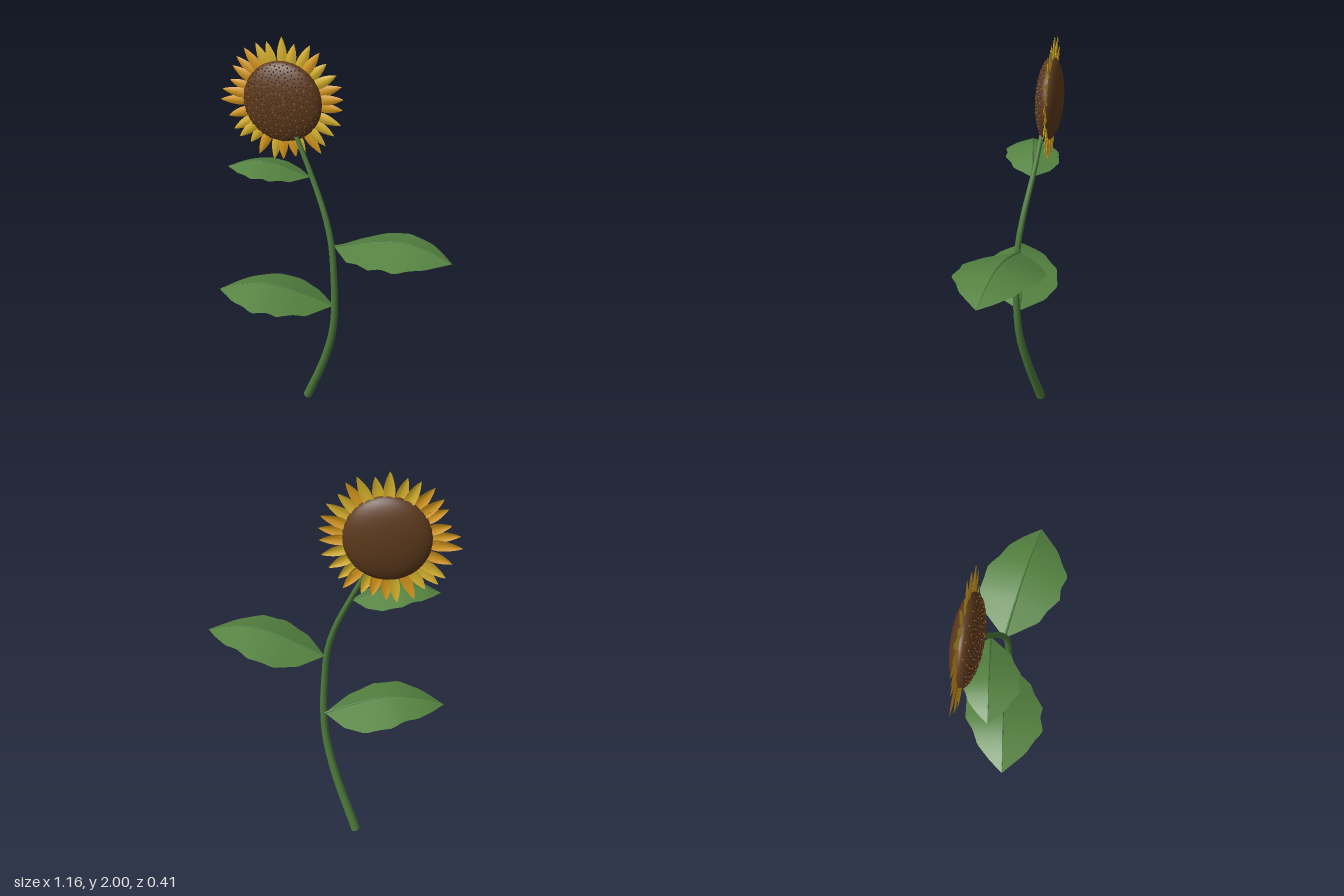
import * as THREE from 'three';

const mat = (name, color, side = THREE.FrontSide) => {
  const m = new THREE.MeshStandardMaterial({ color, side });
  m.name = name;
  return m;
};
const v = (x, y, z) => new THREE.Vector3(x, y, z);

// Tube whose radius runs from r0 to r1
function taperedTube(curve, segments, r0, r1, sides) {
  const geo = new THREE.TubeGeometry(curve, segments, 1, sides);
  const pos = geo.attributes.position;
  const p = new THREE.Vector3();
  for (let i = 0; i <= segments; i++) {
    const c = curve.getPointAt(i / segments);
    const r = THREE.MathUtils.lerp(r0, r1, i / segments);
    for (let j = 0; j <= sides; j++) {
      const k = i * (sides + 1) + j;
      p.fromBufferAttribute(pos, k).sub(c).multiplyScalar(r).add(c);
      pos.setXYZ(k, p.x, p.y, p.z);
    }
  }
  return geo;
}

// Surface through a grid of points, f(row, column) with both in 0..1
function grid(rows, cols, f, flip = false) {
  const pts = [], idx = [];
  for (let i = 0; i <= rows; i++)
    for (let j = 0; j <= cols; j++) pts.push(...f(i / rows, j / cols));
  for (let i = 0; i < rows; i++)
    for (let j = 0; j < cols; j++) {
      const a = i * (cols + 1) + j, b = a + 1, c = a + cols + 1, d = c + 1;
      idx.push(...(flip ? [a, c, b, b, c, d] : [a, b, c, b, d, c]));
    }
  const geo = new THREE.BufferGeometry();
  geo.setAttribute('position', new THREE.Float32BufferAttribute(pts, 3));
  geo.setIndex(idx);
  geo.computeVertexNormals();
  return geo;
}

// Linear interpolation in a list of [t, value]
function sample(table, t) {
  let i = 1;
  while (i < table.length - 1 && t > table[i][0]) i++;
  const [t0, a] = table[i - 1], [t1, b] = table[i];
  return a + (b - a) * (t - t0) / (t1 - t0);
}

// Half widths of the scalloped leaf, behind and in front of the midrib
const BACK = [[0, 0], [.16, .125], [.33, .19], [.42, .187], [.54, .188], [.64, .149], [.765, .125], [.89, .066], [1, 0]];
const FRONT = [[0, 0], [.21, .134], [.31, .153], [.437, .196], [.52, .183], [.64, .198], [.73, .152], [.83, .115], [1, 0]];

function makeLeaf(name, leafMat, ribMat) {
  const leaf = new THREE.Group();
  leaf.name = name;
  const rib = new THREE.CatmullRomCurve3([
    v(0, 0, 0), v(.115, .045, .017), v(.23, .083, .034), v(.35, .1, .052), v(.465, .085, .07), v(.58, .047, .086)]);
  for (const side of [-1, 1]) {
    const geo = grid(32, 4, (t, s) => {
      const c = rib.getPoint(t);
      const w = s * sample(side < 0 ? BACK : FRONT, t);
      return [c.x - side * .146 * w, c.y - .26 * w, c.z + side * .989 * w];
    }, side < 0);
    const half = new THREE.Mesh(geo, leafMat);
    half.name = side < 0 ? 'leafBackHalf' : 'leafFrontHalf';
    leaf.add(half);
  }
  const ribMesh = new THREE.Mesh(taperedTube(rib, 16, .006, .001, 6), ribMat);
  ribMesh.name = 'midrib';
  leaf.add(ribMesh);
  return leaf;
}

export function createModel() {
  const stemMat = mat('stem green', 0x4c7a3b);
  const leafMat = mat('leaf green', 0x558341, THREE.DoubleSide);
  const brown = mat('disc brown', 0x5e3a1c);
  const darkSeed = mat('dark seed brown', 0x4e2f17);
  const paleSeed = mat('pale seed orange', 0xa0642c);
  const petalMats = [
    mat('petal yellow', 0xd8b22c, THREE.DoubleSide),
    mat('petal gold', 0xd99a1e, THREE.DoubleSide)];
  const model = new THREE.Group();
  model.name = 'sunflower';

  let seed = 7;
  const rand = () => (seed = (seed * 16807) % 2147483647) / 2147483647;

  // Bowed stem with closed ends
  const path = new THREE.CatmullRomCurve3([
    v(-.177, .01, -.142), v(-.06, .33, -.082), v(-.005, .55, -.047), v(.008, .72, -.035), v(.005, .87, -.031),
    v(-.01, 1.06, -.036), v(-.05, 1.21, -.055), v(-.125, 1.39, -.088), v(-.2, 1.555, -.112)]);
  const stem = new THREE.Mesh(taperedTube(path, 24, .024, .011, 12), stemMat);
  stem.name = 'stem';
  model.add(stem);
  for (const [t, r, dir] of [[0, .024, -1], [1, .011, 1]]) {
    const cap = new THREE.Mesh(new THREE.CircleGeometry(r, 12), stemMat);
    cap.name = 'stemEnd';
    cap.position.copy(path.getPointAt(t));
    cap.quaternion.setFromUnitVectors(v(0, 0, 1), path.getTangentAt(t).multiplyScalar(dir));
    model.add(cap);
  }

  // Three leaves: [name, position, scale, direction]
  for (const [name, p, s, dir] of [
    ['lowerLeaf', [0, .7, -.05], 1, -1],
    ['middleLeaf', [0, 1.04, -.05], 1, 1],
    ['upperLeaf', [-.125, 1.375, -.083], .67, -1]]) {
    const leaf = makeLeaf(name, leafMat, stemMat);
    leaf.position.set(...p);
    leaf.scale.set(s * dir, s, s);
    model.add(leaf);
  }

  // Flower head
  const head = new THREE.Group();
  head.name = 'flowerHead';
  head.position.set(-.272, 1.706, -.138);
  model.add(head);

  const R = .188, D = .061;
  const disc = new THREE.Mesh(new THREE.SphereGeometry(R, 32, 20).scale(1, 1, D / R), brown);
  disc.name = 'disc';
  head.add(disc);

  // Seeds in a spiral over the front of the disc
  const seedGeo = new THREE.IcosahedronGeometry(.0045, 0);
  const count = 420;
  for (let i = 0; i < count; i++) {
    const r = Math.sqrt((i + .5) / count) * .985, a = i * 2.39996;
    const m = new THREE.Mesh(seedGeo, i % 4 === 0 ? paleSeed : darkSeed);
    m.name = 'seed';
    m.position.set(R * r * Math.cos(a), R * r * Math.sin(a), D * Math.sqrt(1 - r * r));
    m.scale.setScalar(i % 4 === 0 ? .8 : 1);
    head.add(m);
  }

  // Pointed, slightly folded petals around the rim
  const petalGeo = grid(10, 4, (t, s) => {
    const u = s * 2 - 1;
    const w = .027 * Math.pow(Math.sin(Math.PI * Math.pow(t, .9)), .8) * (1 - .25 * t);
    return [u * w, t, .007 * (1 - u * u) * Math.sin(Math.PI * t)];
  }, true);
  const petals = 30;
  for (let i = 0; i < petals; i++) {
    const a = (i + (i ? (rand() - .5) * .5 : 0)) / petals * Math.PI * 2;
    const tip = i ? .268 + rand() * .034 : .294;
    const outer = Math.abs(a - Math.PI / 2) < .1 ? .312 : Math.min(tip, .294 / Math.max(.01, Math.cos(a)));
    const petal = new THREE.Mesh(petalGeo, petalMats[rand() < .5 ? 0 : 1]);
    petal.name = 'petal';
    petal.rotation.z = a;
    petal.position.set(-Math.sin(a) * .14, Math.cos(a) * .14, -.012 + (i % 2) * .004);
    petal.scale.set(1, outer - .14, 1);
    head.add(petal);
  }
  return model;
}
